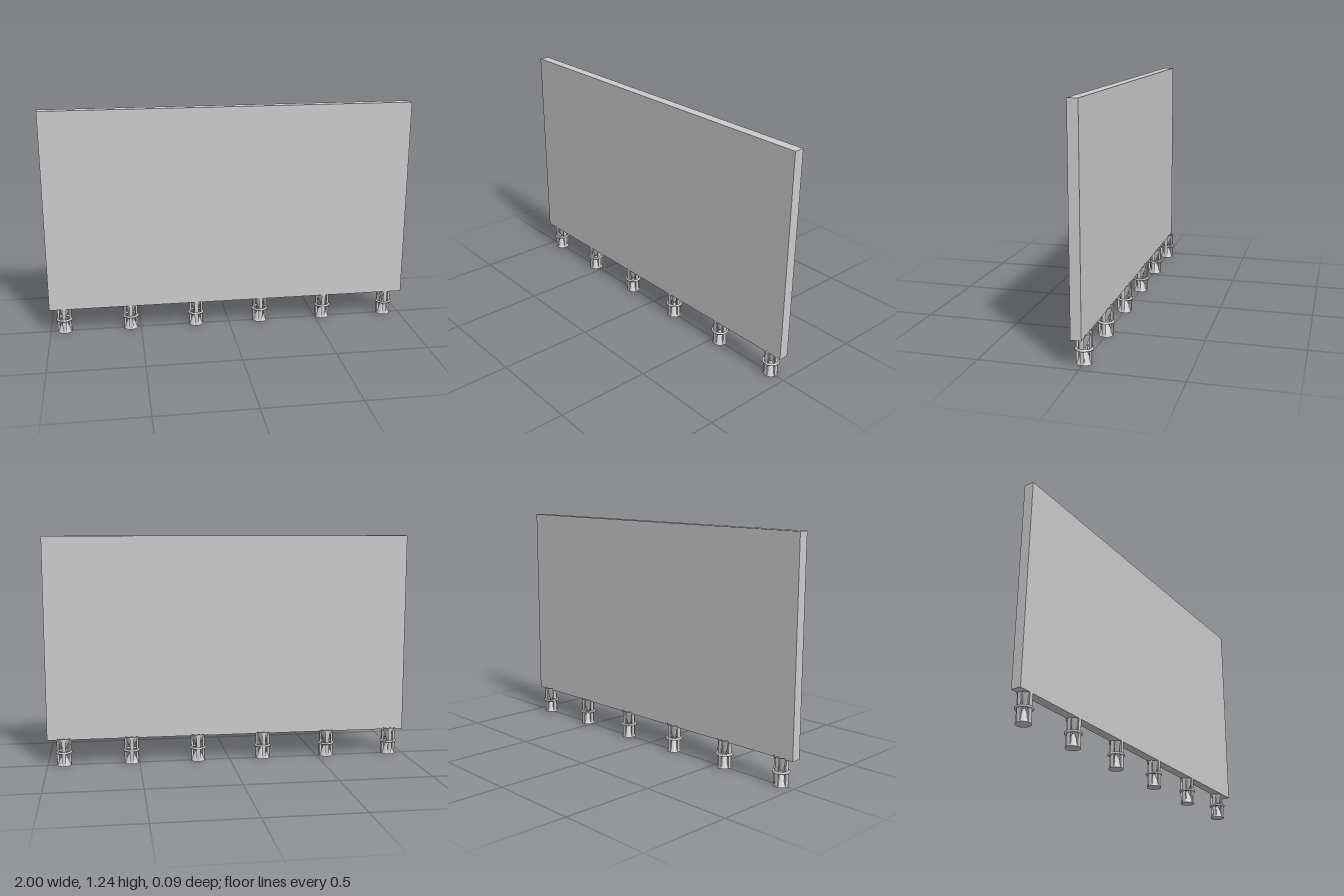
import * as THREE from 'three';

const material = new THREE.MeshStandardMaterial({ color: 0xcccccc, side: THREE.DoubleSide });

const FOOT_R = 0.039, FOOT_H = 0.151, MID = 0.074;

function add(parent, name, geometry, x = 0, y = 0, z = 0) {
  const mesh = new THREE.Mesh(geometry, material);
  mesh.name = name;
  mesh.position.set(x, y, z);
  parent.add(mesh);
  return mesh;
}

// Upright strip of the foot's cylindrical wall
function postGeometry(halfAngle, inner, outer) {
  const shape = new THREE.Shape();
  shape.absarc(0, 0, outer, -halfAngle, halfAngle, false);
  shape.absarc(0, 0, inner, halfAngle, -halfAngle, true);
  shape.closePath();
  const g = new THREE.ExtrudeGeometry(shape, { depth: FOOT_H, bevelEnabled: false, curveSegments: 5 });
  return g.rotateX(-Math.PI / 2);
}

function createFoot() {
  const foot = new THREE.Group();
  foot.name = 'foot';

  // Solid lower cone and open upper funnel meet at the waist
  add(foot, 'lowerCone', new THREE.CylinderGeometry(0.005, FOOT_R, MID, 32), 0, MID / 2);
  add(foot, 'upperFunnel', new THREE.CylinderGeometry(FOOT_R, 0.005, FOOT_H - MID, 32, 1, true), 0, (FOOT_H + MID) / 2);

  // Four wall posts
  const post = postGeometry(0.27, 0.027, FOOT_R);
  for (let i = 0; i < 4; i++) add(foot, 'post', post).rotation.y = i * Math.PI / 2;

  // Collar around the waist
  const collar = new THREE.TorusGeometry(0.039, 0.0065, 8, 32).rotateX(Math.PI / 2);
  add(foot, 'collar', collar, 0, MID);
  return foot;
}

export function createModel() {
  const model = new THREE.Group();
  model.name = 'panelOnFeet';

  // Large flat panel, set slightly forward of the feet
  add(model, 'panel', new THREE.BoxGeometry(2, 1.1, 0.053), 0, 0.692, 0.012);

  // Row of six feet
  for (let i = 0; i < 6; i++) {
    const foot = createFoot();
    foot.position.x = -0.922 + i * 0.3665;
    model.add(foot);
  }
  return model;
}
